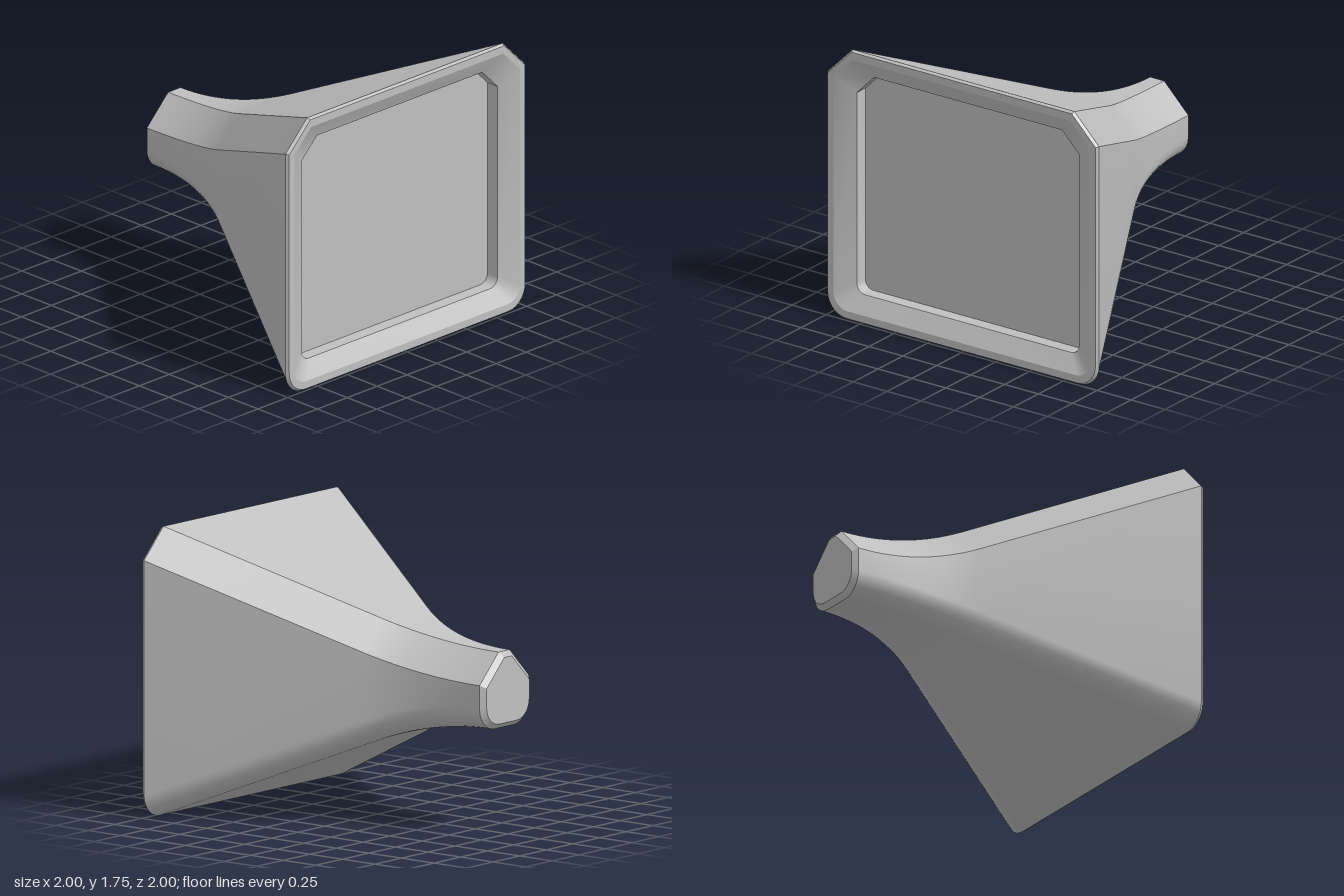
import * as THREE from 'three';
import { toCreasedNormals } from 'three/addons/utils/BufferGeometryUtils.js';

const ARC = 7; // segments in each rounded lower corner

// Cross-section: straight cuts on the upper corners, rounded lower corners.
// Runs counter-clockwise as seen from the front.
function section({ z, w, top, bottom, cut, r }) {
  const points = [
    [w, top - cut], [w - cut, top], [cut - w, top], [-w, top - cut],
  ];
  for (const [cx, start] of [[r - w, Math.PI], [w - r, Math.PI * 1.5]]) {
    for (let i = 0; i <= ARC; i++) {
      const a = start + (i / ARC) * Math.PI / 2;
      points.push([cx + r * Math.cos(a), bottom + r + r * Math.sin(a)]);
    }
  }
  return points.map(([x, y]) => new THREE.Vector3(x, y, z));
}

function geometryFrom(triangles) {
  const geometry = new THREE.BufferGeometry().setFromPoints(triangles);
  return toCreasedNormals(geometry, 0.4);
}

// Skin a series of cross-sections
function loft(specs) {
  const rings = specs.map(section);
  const triangles = [];
  for (let i = 0; i < rings.length - 1; i++) {
    const a = rings[i], b = rings[i + 1];
    for (let k = 0; k < a.length; k++) {
      const n = (k + 1) % a.length;
      triangles.push(b[k], b[n], a[k], b[n], a[n], a[k]);
    }
  }
  return geometryFrom(triangles);
}

// Flat face filling one cross-section
function cap(spec, facesBack) {
  const ring = section(spec);
  const centre = new THREE.Vector3(0, (spec.top + spec.bottom) / 2, spec.z);
  const triangles = [];
  ring.forEach((p, k) => {
    const q = ring[(k + 1) % ring.length];
    triangles.push(centre, ...(facesBack ? [q, p] : [p, q]));
  });
  return geometryFrom(triangles);
}

export function createModel() {
  const grey = new THREE.MeshStandardMaterial({ color: 0xc0c0c0 });
  grey.name = 'plain grey';
  const model = new THREE.Group();
  model.name = 'flaredHousing';
  const add = (name, geometry) => {
    const mesh = new THREE.Mesh(geometry, grey);
    mesh.name = name;
    model.add(mesh);
  };

  // Key sections, from the recessed floor out over the rim to the neck
  const floor = { z: 0.85, w: 0.82, top: 1.58, bottom: 0.165, cut: 0.128, r: 0.06 };
  const step = { ...floor, z: 0.935 };
  const lip = { z: 1, w: 0.945, top: 1.687, bottom: 0.06, cut: 0.14, r: 0.1 };
  const face = { z: 1, w: 0.988, top: 1.735, bottom: 0.012, cut: 0.176, r: 0.14 };
  const edge = { z: 0.98, w: 1, top: 1.745, bottom: 0, cut: 0.182, r: 0.145 };
  const waist = { z: -0.2, w: 0.4, top: 1.245, bottom: 0.505, cut: 0.18, r: 0.143 };
  const neck = { z: -0.97, w: 0.23, top: 1.105, bottom: 0.645, cut: 0.178, r: 0.14 };
  const tip = { z: -1, w: 0.2, top: 1.073, bottom: 0.677, cut: 0.165, r: 0.115 };

  // Straight flare, then a curve that levels out at the neck
  const horn = [edge, waist];
  const control = { ...neck, z: -0.53 };
  const STEPS = 14;
  for (let i = 1; i <= STEPS; i++) {
    const t = i / STEPS, spec = {};
    for (const key of Object.keys(waist)) {
      spec[key] = (1 - t) ** 2 * waist[key] + 2 * t * (1 - t) * control[key] + t * t * neck[key];
    }
    horn.push(spec);
  }

  add('screenFloor', cap(floor, false));
  add('recessWall', loft([floor, step, lip]));
  add('frontRim', loft([lip, face, edge]));
  add('flaredBody', loft(horn));
  add('neckBevel', loft([neck, tip]));
  add('neckEnd', cap(tip, true));
  return model;
}
